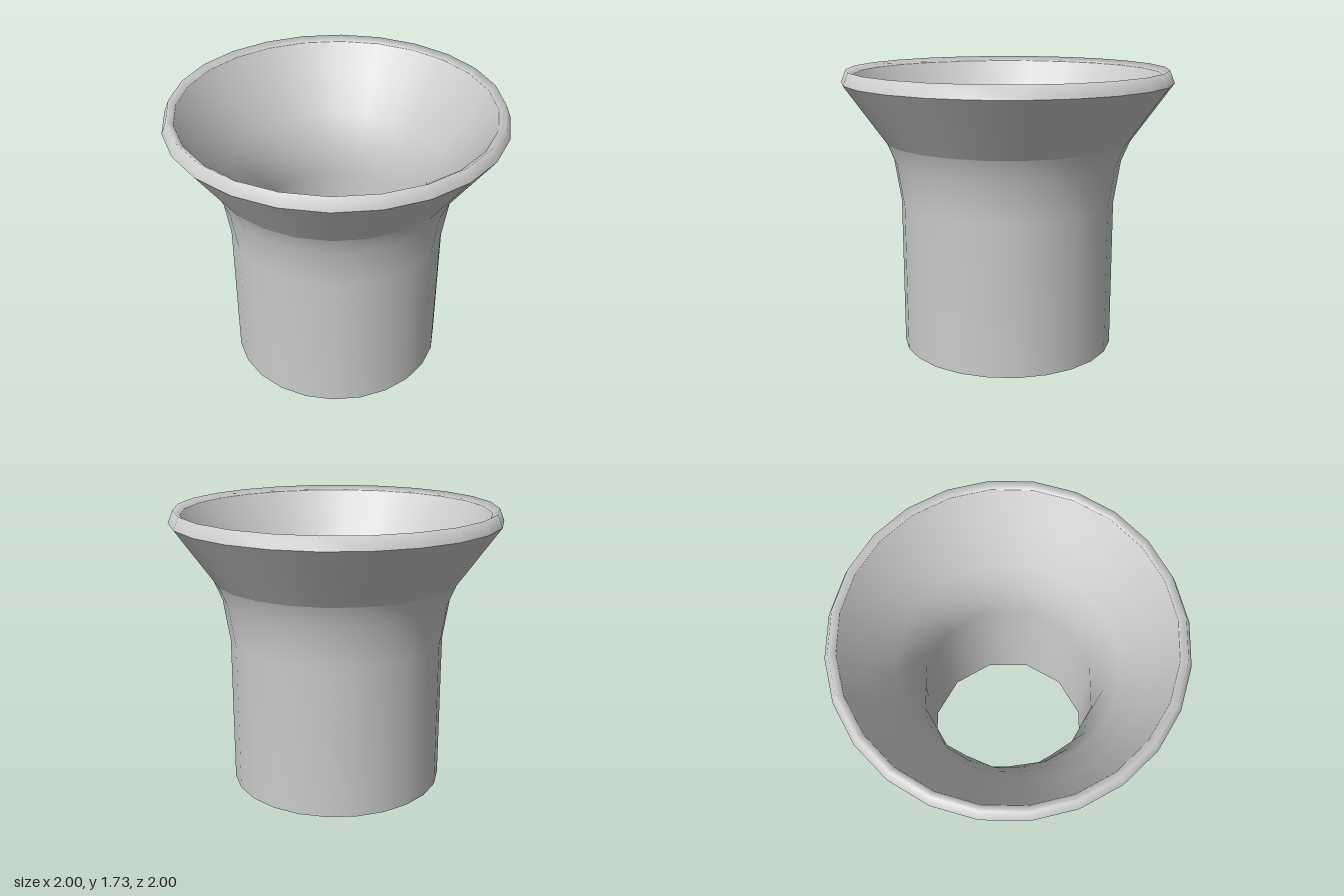
import * as THREE from 'three';

const SIDES = 24;
const HOLE_RADIUS = 0.53;

// The bore is twelve-sided and slightly twisted against the outer wall.
function shapeBore(geometry) {
  const pos = geometry.attributes.position;
  const step = (2 * Math.PI) / SIDES;
  const twist = THREE.MathUtils.degToRad(-6);
  for (let i = 0; i < pos.count; i++) {
    const x = pos.getX(i), z = pos.getZ(i);
    if (Math.hypot(x, z) > HOLE_RADIUS + 0.005) continue;
    const side = Math.round(Math.atan2(x, z) / step);
    const r = side % 2 === 0 ? HOLE_RADIUS : HOLE_RADIUS * Math.cos(step);
    const angle = side * step + twist;
    pos.setX(i, r * Math.sin(angle));
    pos.setZ(i, r * Math.cos(angle));
  }
  return geometry;
}

export function createModel() {
  const group = new THREE.Group();
  group.name = 'flaredTube';
  const material = new THREE.MeshStandardMaterial({ color: 0xcccccc, side: THREE.DoubleSide });

  // Each part is one smooth stretch of the profile; creases fall between parts.
  const addRing = (name, profile) => {
    const points = profile.map(([r, y]) => new THREE.Vector2(r, y));
    const mesh = new THREE.Mesh(shapeBore(new THREE.LatheGeometry(points, SIDES)), material);
    mesh.name = name;
    group.add(mesh);
  };

  addRing('bottomRing', [[HOLE_RADIUS, 0], [0.66, 0]]);
  addRing('outerWall', [[0.66, 0], [0.66, 0.92], [0.7, 1.18], [0.75, 1.3]]);
  addRing('outerFlare', [[0.75, 1.3], [1, 1.655]]);
  addRing('rim', [[1, 1.655], [0.97, 1.73], [0.93, 1.7]]);
  addRing('innerFunnel', [
    [0.93, 1.7], [0.79, 1.5], [0.65, 1.3], [0.58, 1.14], [HOLE_RADIUS, 0.92], [HOLE_RADIUS, 0],
  ]);

  return group;
}
